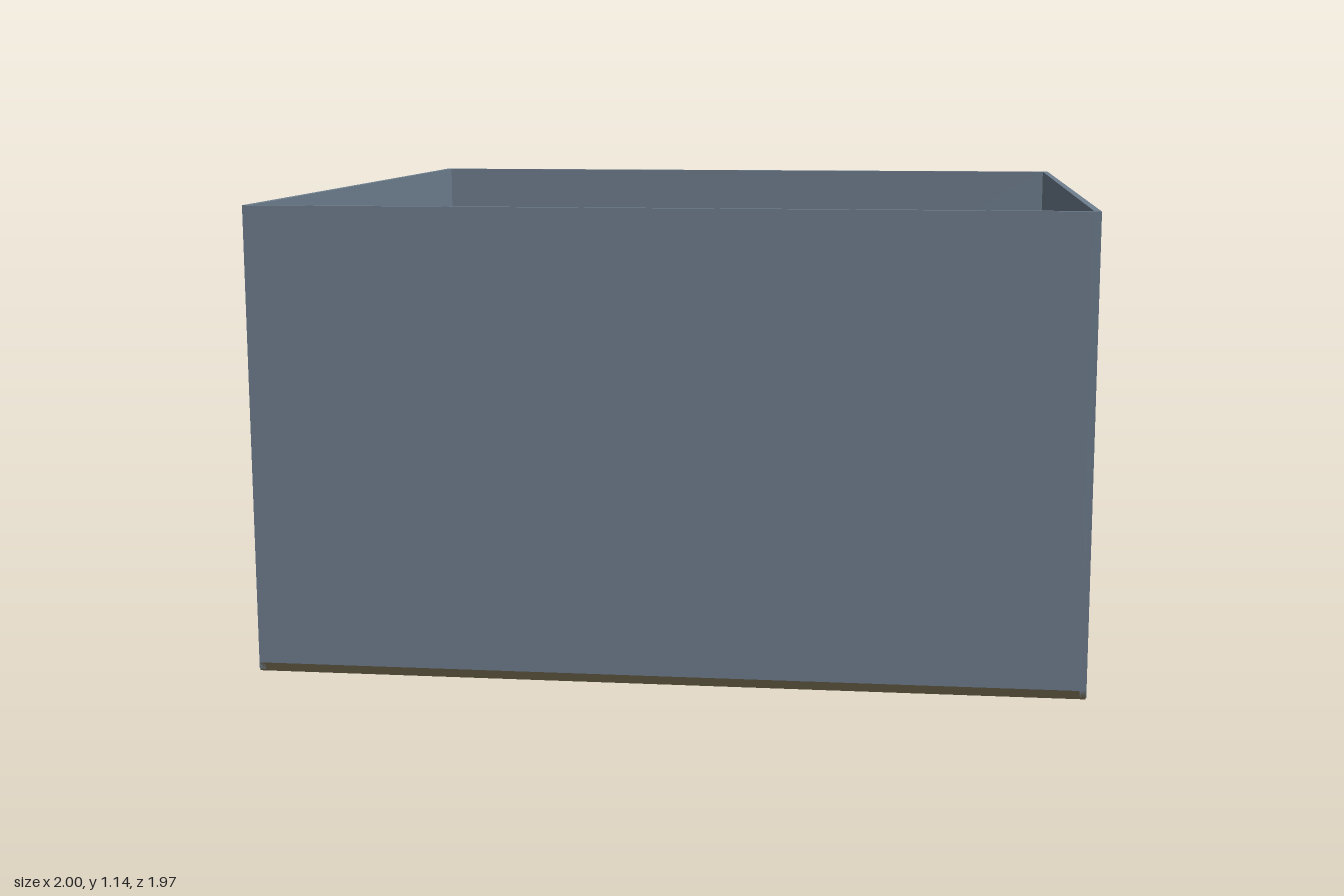
import * as THREE from 'three';

const wallMat = new THREE.MeshStandardMaterial({ color: 0x708090 });
const floorMat = new THREE.MeshStandardMaterial({ color: 0x5c543f });
const woodMat = new THREE.MeshStandardMaterial({ color: 0xbdb387 });

// Box given by its minimum and maximum corners
function addBox(parent, name, mat, min, max) {
  const size = max.map((v, i) => v - min[i]);
  const mesh = new THREE.Mesh(new THREE.BoxGeometry(...size), mat);
  mesh.position.set(...min.map((v, i) => v + size[i] / 2));
  mesh.name = name;
  parent.add(mesh);
  return mesh;
}

export function createModel() {
  const room = new THREE.Group();
  room.name = 'room';
  const H = 1.14, D = 0.985, T = 0.016, FLOOR = 0.02, BASE = 0.004;

  addBox(room, 'floor', floorMat, [-0.998, 0, -D], [0.998, FLOOR, D]);

  // Front and back walls stand on the floor slab
  addBox(room, 'frontWall', wallMat, [-1 + T, FLOOR, D - T], [1 - T, H, D]);
  addBox(room, 'backWall', wallMat, [-1 + T, FLOOR, -D], [1 - T, H, -D + T]);

  // Solid side wall, covering the edge of the slab
  addBox(room, 'rightWall', wallMat, [-1, BASE, -D], [-1 + T, H, D]);

  // Side wall with a doorway notch; shape x runs along -z
  const s = new THREE.Shape();
  [[-D, BASE], [-0.12, BASE], [-0.12, 0.565], [0.364, 0.565], [0.364, BASE], [D, BASE], [D, H], [-D, H]]
    .forEach(([x, y], i) => (i ? s.lineTo(x, y) : s.moveTo(x, y)));
  s.closePath();
  const doorWall = new THREE.Mesh(new THREE.ExtrudeGeometry(s, { depth: T, bevelEnabled: false }), wallMat);
  doorWall.rotation.y = Math.PI / 2;
  doorWall.position.x = 1 - T;
  doorWall.name = 'doorWall';
  room.add(doorWall);

  // Low table against the wall facing the doorway
  const table = new THREE.Group();
  table.name = 'table';
  room.add(table);
  addBox(table, 'tableTop', woodMat, [-0.943, 0.192, -0.455], [-0.668, 0.214, 0.121]);
  for (const x of [-0.918, -0.719])
    for (const z of [-0.43, 0.07])
      addBox(table, 'tableLeg', woodMat, [x, FLOOR, z], [x + 0.026, 0.192, z + 0.026]);

  return room;
}
